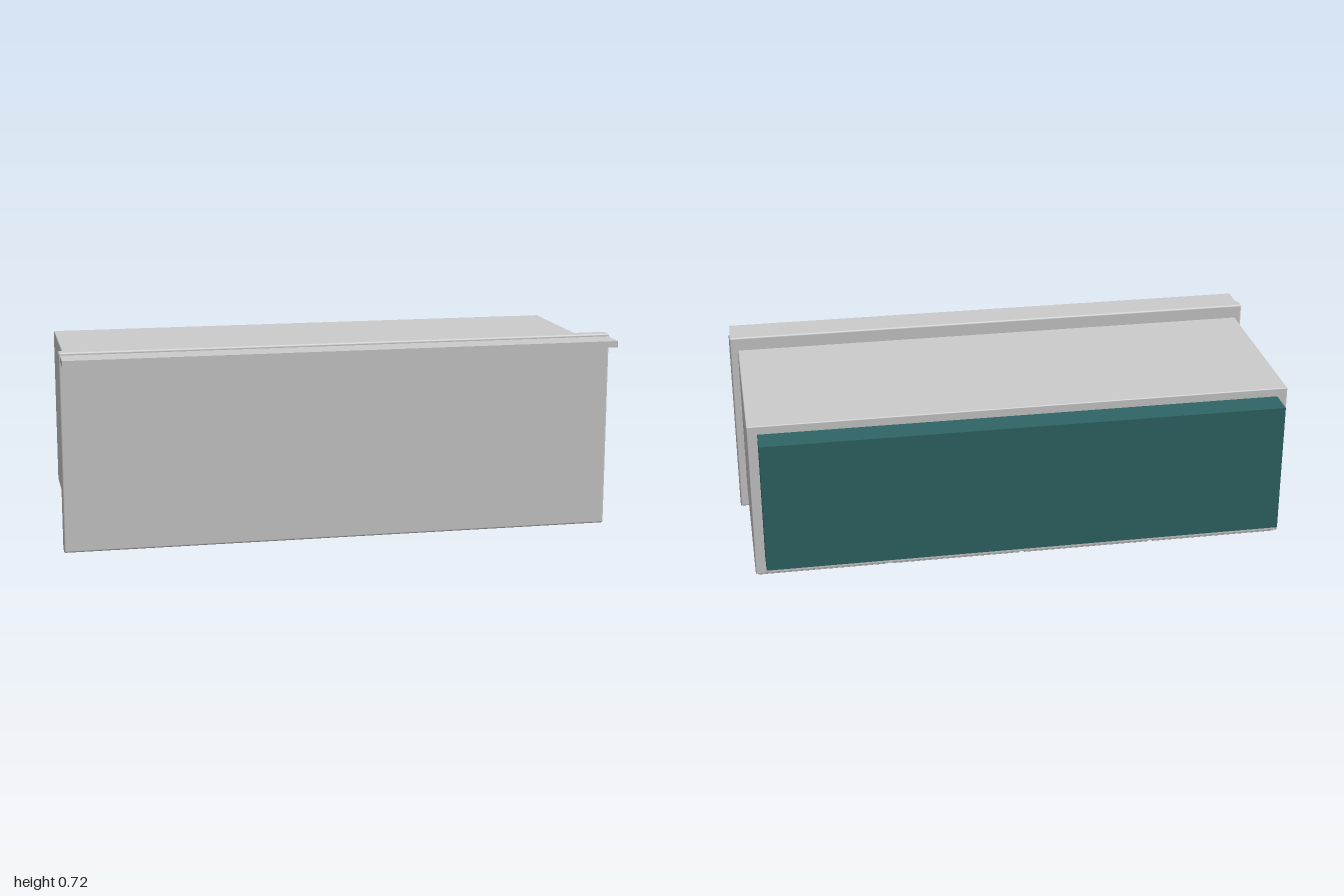
import * as THREE from 'three';
import { RoundedBoxGeometry } from 'three/addons/geometries/RoundedBoxGeometry.js';

const grey = new THREE.MeshStandardMaterial({ color: 0xcccccc });
const teal = new THREE.MeshStandardMaterial({ color: 0x2f6466 });

// Box given by its [min, max] extents, with optional rounded edges
function box(name, [x0, x1], [y0, y1], [z0, z1], material, radius = 0) {
  const size = [x1 - x0, y1 - y0, z1 - z0];
  const geometry = radius
    ? new RoundedBoxGeometry(...size, 3, radius)
    : new THREE.BoxGeometry(...size);
  const mesh = new THREE.Mesh(geometry, material);
  mesh.name = name;
  mesh.position.set((x0 + x1) / 2, (y0 + y1) / 2, (z0 + z1) / 2);
  return mesh;
}

export function createModel() {
  const group = new THREE.Group();
  group.name = 'cabinet';

  // Main carcass and the recessed block behind it
  group.add(box('body', [-0.97, 0.97], [0.088, 0.672], [-0.372, 0.308], grey, 0.004));
  group.add(box('backBlock', [-0.933, 0.933], [0.157, 0.641], [-0.473, -0.37], teal));

  // Front panel standing just clear of the body, with a ledge near its top
  group.add(box('frontPanel', [-1, 1], [0, 0.716], [0.322, 0.367], grey, 0.007));
  group.add(box('ledge', [-0.994, 0.994], [0.683, 0.706], [0.365, 0.473], grey));

  // Four doors on the underside, each with a small pull
  const count = 4;
  const pitch = 1.94 / count;
  for (let i = 0; i < count; i++) {
    const x = (i - (count - 1) / 2) * pitch;
    const half = pitch / 2 - 0.008;
    group.add(box('door' + (i + 1), [x - half, x + half], [0.073, 0.089], [-0.352, 0.296], grey, 0.003));
    group.add(box('handle' + (i + 1), [x - 0.062, x + 0.062], [0.051, 0.071], [0.187, 0.205], teal, 0.006));
  }
  return group;
}
